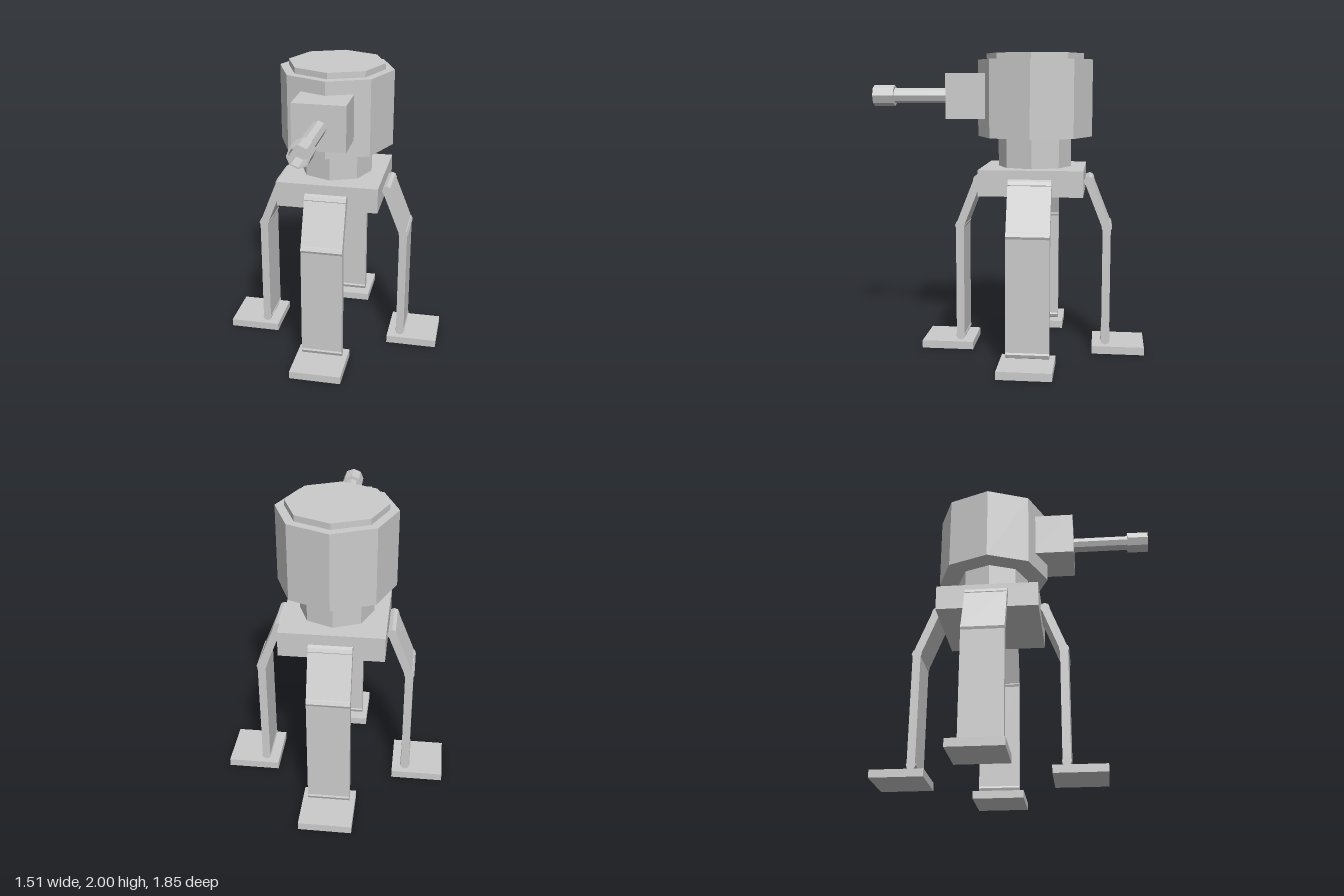
import * as THREE from 'three';

const material = new THREE.MeshStandardMaterial({ color: 0xcccccc, flatShading: true });

function add(parent, name, geometry, x = 0, y = 0, z = 0) {
  const mesh = new THREE.Mesh(geometry, material);
  mesh.name = name;
  mesh.position.set(x, y, z);
  parent.add(mesh);
  return mesh;
}

const box = (w, h, d) => new THREE.BoxGeometry(w, h, d);
const octagon = (r, h) => new THREE.CylinderGeometry(r, r, h, 8);

// One leg facing +z: hip, knee and ankle pins joined by flat plates, on a square foot
function createLeg(name) {
  const leg = new THREE.Group();
  leg.name = name;
  const width = 0.28;
  const joints = [
    ['hip', 0.37, 1.163, 0.033],
    ['knee', 0.493, 0.852, 0.034],
    ['ankle', 0.493, 0.087, 0.032],
  ];
  for (const [joint, z, y, r] of joints) {
    add(leg, joint, octagon(r, width), 0, y, z).rotation.z = Math.PI / 2;
  }
  ['upperLeg', 'lowerLeg'].forEach((part, i) => {
    const [, z0, y0] = joints[i];
    const [, z1, y1] = joints[i + 1];
    const plate = add(leg, part, box(width, Math.hypot(z1 - z0, y1 - y0), 0.054),
      0, (y0 + y1) / 2, (z0 + z1) / 2);
    plate.rotation.x = Math.atan2(z0 - z1, y0 - y1);
  });
  add(leg, 'foot', box(0.35, 0.052, 0.35), 0, 0.026, 0.578);
  return leg;
}

export function createModel() {
  const model = new THREE.Group();
  model.name = 'walkerTurret';

  // Everything is arranged around the turret's vertical axis
  const walker = new THREE.Group();
  walker.name = 'walker';
  walker.position.z = -0.175;
  model.add(walker);

  // Hull and octagonal turret
  add(walker, 'hull', box(0.68, 0.17, 0.68), 0, 1.165, 0);
  add(walker, 'neck', octagon(0.245, 0.2), 0, 1.35, 0);
  add(walker, 'turret', octagon(0.385, 0.51), 0, 1.705, 0);
  add(walker, 'turretCap', octagon(0.325, 0.04), 0, 1.98, 0);

  // Gun with a hollow muzzle
  const gun = new THREE.Group();
  gun.name = 'gun';
  gun.position.y = 1.72;
  walker.add(gun);
  add(gun, 'gunMount', box(0.345, 0.3, 0.3), 0, 0, 0.427);
  add(gun, 'barrel', octagon(0.05, 0.4), 0, 0, 0.765).rotation.x = Math.PI / 2;
  const profile = [[0, 0], [0.071, 0], [0.071, 0.143], [0.06, 0.143], [0.06, 0.02], [0, 0.02]]
    .map(([r, h]) => new THREE.Vector2(r, h));
  add(gun, 'muzzle', new THREE.LatheGeometry(profile, 8), 0, 0, 0.957).rotation.x = Math.PI / 2;

  // Four legs, a quarter turn apart
  ['frontLeg', 'leftLeg', 'backLeg', 'rightLeg'].forEach((name, i) => {
    const leg = createLeg(name);
    leg.rotation.y = i * Math.PI / 2;
    walker.add(leg);
  });

  return model;
}
